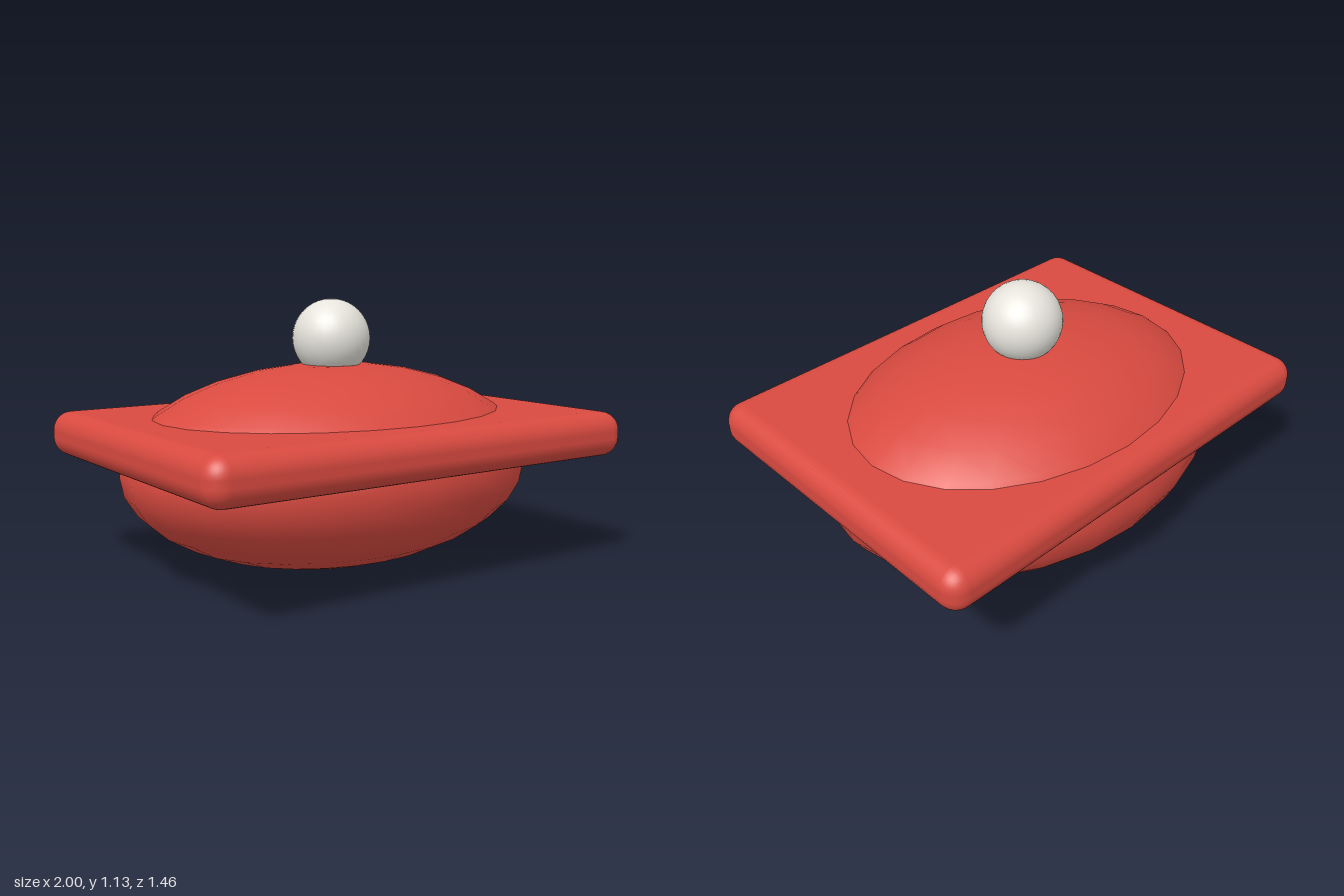
import * as THREE from 'three';
import { RoundedBoxGeometry } from 'three/addons/geometries/RoundedBoxGeometry.js';

export function createModel() {
  const group = new THREE.Group();
  const red = new THREE.MeshStandardMaterial({ color: 0xd94a40 });
  const white = new THREE.MeshStandardMaterial({ color: 0xe6e4dc });

  const add = (name, geometry, material, x, y, z) => {
    const mesh = new THREE.Mesh(geometry, material);
    mesh.name = name;
    mesh.position.set(x, y, z);
    group.add(mesh);
    return mesh;
  };

  // Flattened ellipsoid body, set slightly towards the back
  const body = add('body', new THREE.SphereGeometry(1, 24, 16), red, 0, 0.43, -0.033);
  body.scale.set(0.935, 0.43, 0.698);

  // Rounded slab passing through the body
  add('brim', new RoundedBoxGeometry(2, 0.19, 1.46, 4, 0.08), red, 0, 0.558, 0);

  // Ball resting in the crown of the body
  add('ball', new THREE.SphereGeometry(0.166, 32, 20), white, 0, 0.964, -0.033);

  return group;
}
